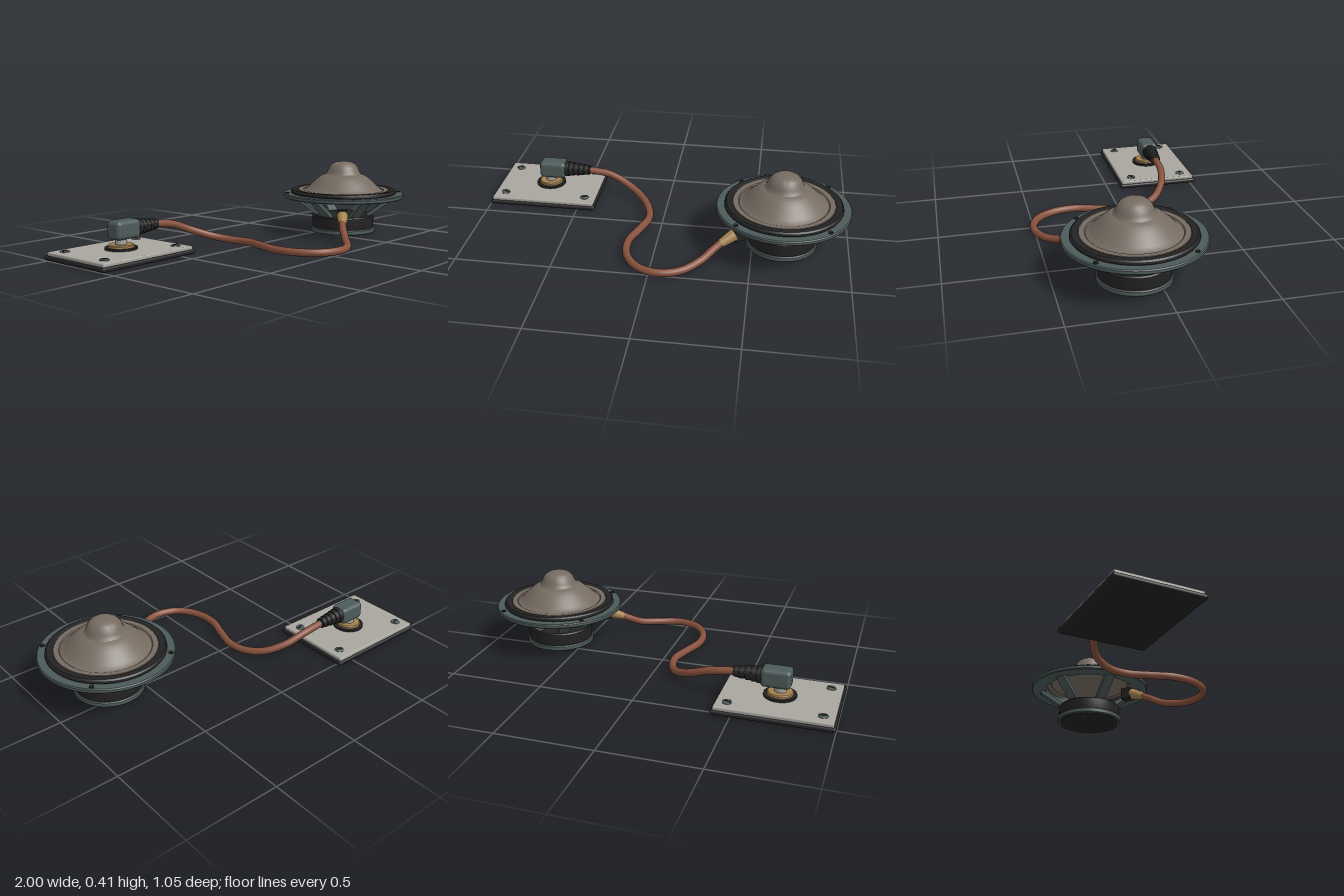
import * as THREE from 'three';
import { toCreasedNormals } from 'three/addons/utils/BufferGeometryUtils.js';
import { RoundedBoxGeometry } from 'three/addons/geometries/RoundedBoxGeometry.js';

const material = (name, color, side = THREE.FrontSide) => {
  const m = new THREE.MeshStandardMaterial({ color, side });
  m.name = name;
  return m;
};
const steel = material('grey green metal', 0x4d5b5a);
const black = material('black rubber', 0x232323);
const paper = material('brown cone paper', 0x756b61, THREE.DoubleSide);
const copper = material('copper cable', 0x87513d);
const brass = material('brass', 0xa5824f);
const panel = material('light panel', 0xa9a6a0);

const v = (x, y, z) => new THREE.Vector3(x, y, z);

function add(parent, name, geometry, mat, x = 0, y = 0, z = 0) {
  const mesh = new THREE.Mesh(geometry, mat);
  mesh.name = name;
  mesh.position.set(x, y, z);
  parent.add(mesh);
  return mesh;
}

// Turned part from [radius, height] pairs
function turned(profile, segments = 64) {
  const points = profile.map(([r, y]) => new THREE.Vector2(r, y));
  return toCreasedNormals(new THREE.LatheGeometry(points, segments), 0.55);
}

function addGroup(parent, name, x, y, z) {
  const g = new THREE.Group();
  g.name = name;
  g.position.set(x, y, z);
  parent.add(g);
  return g;
}

// Slotted screw with a flat dark head
function addScrew(parent, x, y, z, radius, angle) {
  const g = addGroup(parent, 'screw', x, y, z);
  g.rotation.y = angle;
  add(g, 'screwHead', turned([[radius, 0], [radius, 0.004], [radius * 0.75, 0.008], [0, 0.008]], 20), steel);
  add(g, 'screwSlot', new THREE.BoxGeometry(radius * 1.6, 0.002, radius * 0.35), black, 0, 0.0085, 0);
}

function buildSpeaker(root) {
  const g = addGroup(root, 'speaker', 0.65, 0, 0.105);

  // Magnet and its back plate
  add(g, 'magnet', turned([[0, 0], [0.172, 0], [0.179, 0.02], [0.179, 0.094], [0.173, 0.101], [0, 0.101]]), black);
  add(g, 'backPlate', turned([[0.165, 0.002], [0.182, 0.002], [0.187, 0.007], [0.187, 0.026], [0.182, 0.031], [0.165, 0.031]]), steel);

  // Basket flange and six struts
  add(g, 'flange', turned([[0.262, 0.204], [0.344, 0.204], [0.349, 0.209], [0.349, 0.223],
    [0.344, 0.228], [0.262, 0.228], [0.262, 0.204]], 80), steel);
  const rise = Math.atan2(0.11, 0.15);
  for (let i = 0; i < 6; i++) {
    const arm = addGroup(g, 'strutArm', 0, 0, 0);
    arm.rotation.y = i * Math.PI / 3;
    add(arm, 'strut', new THREE.BoxGeometry(0.19, 0.022, 0.056), steel, 0.215, 0.152, 0).rotation.z = rise;
  }

  // Rubber surround, cone and dome
  add(g, 'surround', turned([[0.262, 0.226], [0.302, 0.226], [0.306, 0.232], [0.304, 0.243], [0.297, 0.25],
    [0.272, 0.25], [0.264, 0.246], [0.262, 0.226]], 80), black);
  add(g, 'cone', turned([[0.266, 0.238], [0.262, 0.248], [0.235, 0.248], [0.23, 0.244], [0.222, 0.246], [0.205, 0.261],
    [0.18, 0.286], [0.155, 0.309], [0.135, 0.325], [0.12, 0.333], [0.105, 0.338]], 80), paper);
  add(g, 'dome', turned([[0.106, 0.337], [0.097, 0.346], [0.091, 0.36], [0.083, 0.378],
    [0.07, 0.395], [0.052, 0.406], [0.03, 0.411], [0, 0.412]], 48), paper);

  // Flange bolts
  for (let i = 0; i < 4; i++) {
    const a = Math.PI / 4 + i * Math.PI / 2;
    add(g, 'flangeBolt', new THREE.CylinderGeometry(0.012, 0.012, 0.006, 16), black,
      Math.cos(a) * 0.328, 0.23, Math.sin(a) * 0.328);
  }

  // Terminal block where the cable enters
  add(g, 'terminalBlock', new THREE.BoxGeometry(0.058, 0.064, 0.054), black, -0.22, 0.132, 0.146).rotation.y = 0.585;
}

function buildWallPlate(root) {
  const g = addGroup(root, 'jackPlate', -0.7, 0, -0.302);

  // Base, face panel and corner screws
  add(g, 'plateBase', new RoundedBoxGeometry(0.6, 0.024, 0.456, 3, 0.01), black, 0, 0.012, 0);
  add(g, 'platePanel', new RoundedBoxGeometry(0.58, 0.026, 0.436, 3, 0.007), panel, 0, 0.029, 0);
  for (const x of [-1, 1]) {
    for (const z of [-1, 1]) addScrew(g, x * 0.231, 0.04, z * 0.151, 0.025, x * z * 0.4);
  }

  // Socket washer, hex nut and pin
  add(g, 'socketWasher', new THREE.CylinderGeometry(0.083, 0.083, 0.012, 40), black, 0, 0.046, 0);
  add(g, 'socketRing', turned([[0.066, 0.05], [0.066, 0.062], [0.061, 0.067], [0, 0.067]], 40), brass);
  add(g, 'plugPin', new THREE.CylinderGeometry(0.03, 0.03, 0.04, 32), panel, 0, 0.08, 0);

  // Right-angled plug body and ribbed boot
  add(g, 'plugBody', new RoundedBoxGeometry(0.152, 0.096, 0.096, 4, 0.022), steel, 0.021, 0.14, 0);
  const ribs = [[0, 0], [0.044, 0]];
  for (let i = 0; i < 5; i++) {
    const r = 0.044 - i * 0.0038, y = i * 0.029;
    ribs.push([r, y + 0.022], [r - 0.005, y + 0.024], [r - 0.005, y + 0.029], [r - 0.0038, y + 0.029]);
  }
  ribs.push([0, 0.145]);
  add(g, 'strainBoot', turned(ribs, 32), black, 0.092, 0.14, 0).rotation.z = -Math.PI / 2;
}

function buildCable(root) {
  const g = addGroup(root, 'cable', 0, 0, 0);
  const path = new THREE.CatmullRomCurve3([
    v(-0.5, 0.139, -0.302), v(-0.43, 0.136, -0.303), v(-0.34, 0.122, -0.299), v(-0.24, 0.083, -0.272),
    v(-0.145, 0.044, -0.205), v(-0.09, 0.026, -0.11), v(-0.074, 0.024, 0), v(-0.105, 0.024, 0.11),
    v(-0.144, 0.024, 0.24), v(-0.128, 0.024, 0.37), v(-0.058, 0.024, 0.468), v(0.05, 0.024, 0.505),
    v(0.16, 0.025, 0.474), v(0.255, 0.044, 0.395), v(0.315, 0.082, 0.338), v(0.37, 0.117, 0.295),
  ], false, 'centripetal');
  add(g, 'cord', new THREE.TubeGeometry(path, 160, 0.02, 16), copper);

  // Brass ferrule on the speaker end
  const a = v(0.345, 0.1, 0.313), b = v(0.41, 0.132, 0.268);
  const ferrule = add(g, 'ferrule', new THREE.CylinderGeometry(0.032, 0.022, a.distanceTo(b), 28), brass);
  ferrule.position.copy(a).lerp(b, 0.5);
  ferrule.quaternion.setFromUnitVectors(v(0, 1, 0), b.clone().sub(a).normalize());
}

export function createModel() {
  const root = new THREE.Group();
  root.name = 'speakerWithJackPlate';
  buildSpeaker(root);
  buildWallPlate(root);
  buildCable(root);
  return root;
}
